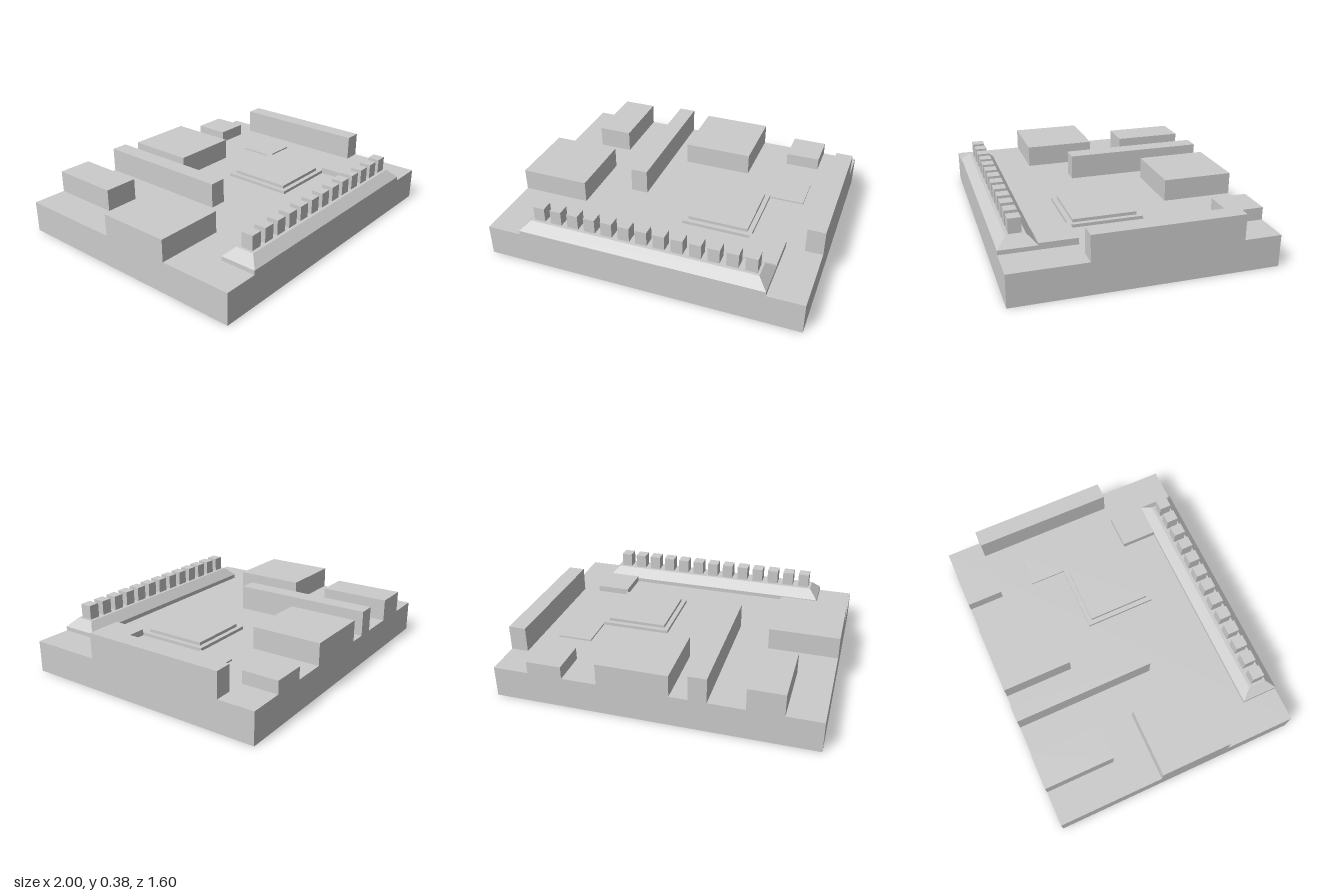
import * as THREE from 'three';

const material = new THREE.MeshStandardMaterial({ color: 0xcccccc, flatShading: true });
const DECK = 0.2;

// Box given by its extents on each axis.
function block(name, [x0, x1], [y0, y1], [z0, z1]) {
  const mesh = new THREE.Mesh(new THREE.BoxGeometry(x1 - x0, y1 - y0, z1 - z0), material);
  mesh.name = name;
  mesh.position.set((x0 + x1) / 2, (y0 + y1) / 2, (z0 + z1) / 2);
  return mesh;
}

// Box whose top face is drawn in by `inset` on all sides.
function taperedBlock(name, xs, ys, zs, inset) {
  const mesh = block(name, xs, ys, zs);
  const p = mesh.geometry.attributes.position;
  for (let i = 0; i < p.count; i++) {
    if (p.getY(i) > 0) {
      p.setX(i, p.getX(i) - Math.sign(p.getX(i)) * inset);
      p.setZ(i, p.getZ(i) - Math.sign(p.getZ(i)) * inset);
    }
  }
  mesh.geometry.computeVertexNormals();
  return mesh;
}

export function createModel() {
  const model = new THREE.Group();
  model.name = 'circuitBoard';

  // Board
  model.add(block('board', [-1, 1], [0, DECK], [-0.8, 0.8]));

  // Components standing on the board: name, x range, top height, z range
  const parts = [
    ['leftConnector', [-1, -0.56], 0.34, [-0.12, 0.34]],
    ['rearPort', [-0.78, -0.56], 0.34, [-0.8, -0.35]],
    ['longSlot', [-0.335, -0.225], 0.36, [-0.8, 0.11]],
    ['rearConnector', [-0.11, 0.335], 0.34, [-0.8, -0.35]],
    ['rearSocket', [0.555, 0.775], 0.28, [-0.8, -0.57]],
    ['sideRail', [0.89, 1], 0.36, [-0.57, 0.34]],
    ['smallChip', [0.555, 0.775], 0.24, [0.34, 0.57]],
    ['thinChip', [0.555, 0.775], 0.21, [-0.35, -0.12]],
    ['processorBase', [0.11, 0.555], 0.22, [-0.12, 0.34]],
  ];
  for (const [name, xs, top, zs] of parts) model.add(block(name, xs, [DECK, top], zs));
  model.add(block('processorLid', [0.14, 0.525], [0.22, 0.24], [-0.09, 0.31]));

  // Pin header: lip, bevelled bar and a row of pins
  const header = new THREE.Group();
  header.name = 'pinHeader';
  header.add(block('headerLip', [-0.78, 0.775], [DECK, 0.227], [0.57, 0.8]));
  header.add(taperedBlock('headerBar', [-0.78, 0.775], [0.227, 0.283], [0.57, 0.8], 0.057));
  for (let i = 0; i < 13; i++) {
    const x = -0.669 + i * 0.1113;
    header.add(block('pin', [x - 0.036, x + 0.036], [0.283, 0.375], [0.648, 0.724]));
  }
  model.add(header);

  return model;
}
